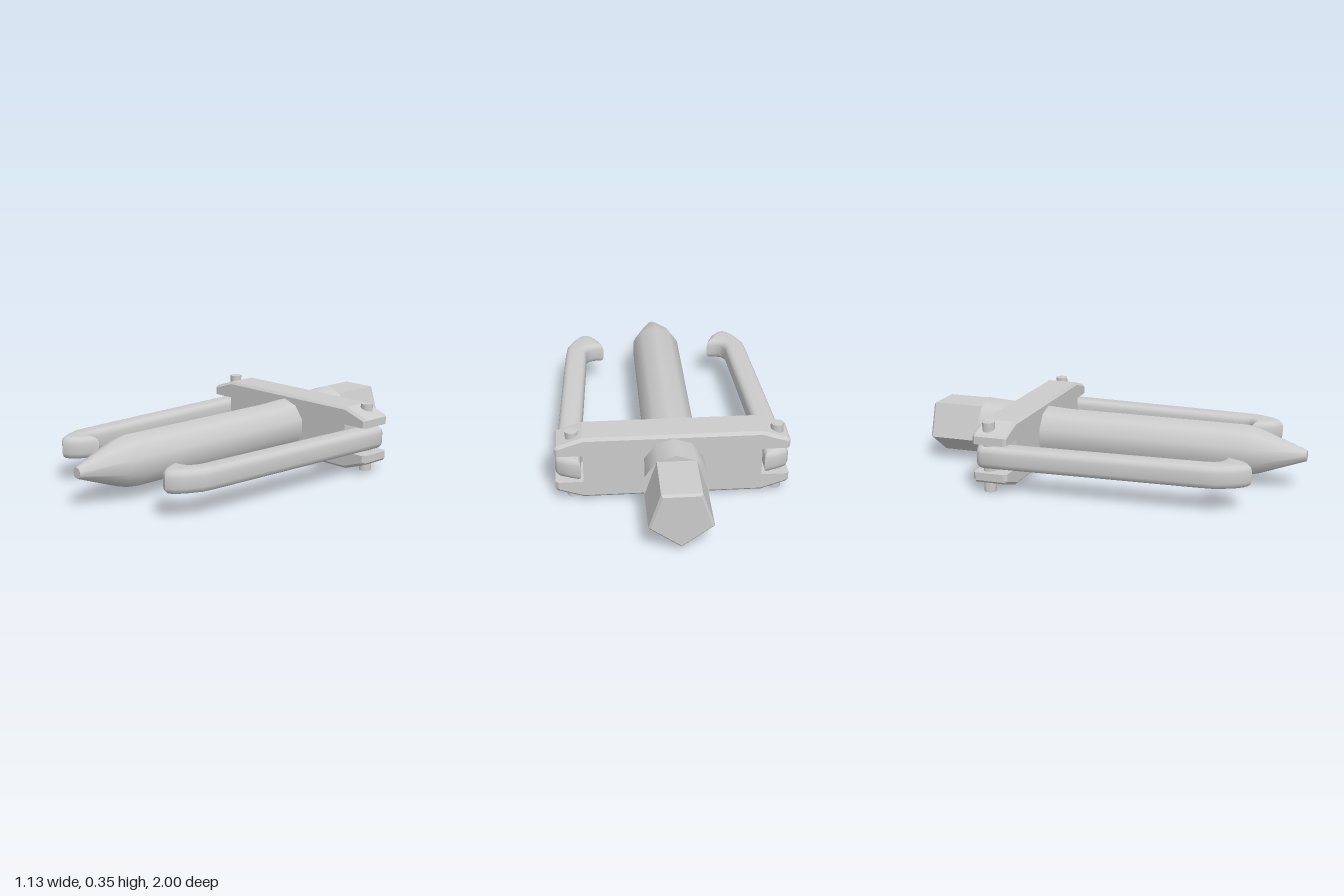
import * as THREE from 'three';
import { toCreasedNormals } from 'three/addons/utils/BufferGeometryUtils.js';

const MID = 0.18; // height of the screw axis
const material = new THREE.MeshStandardMaterial({ color: 0xcccccc });

function addMesh(group, name, geometry, crease) {
  const mesh = new THREE.Mesh(toCreasedNormals(geometry, crease), material);
  mesh.name = name;
  group.add(mesh);
  return mesh;
}

// Solid turned around the z axis from [radius, z] pairs, back to front
function turned(profile, sides) {
  const points = profile.map(([r, z]) => new THREE.Vector2(r, z));
  return new THREE.LatheGeometry(points, sides).rotateX(Math.PI / 2).translate(-0.003, MID, 0);
}

function shapeOf(points) {
  return new THREE.Shape(points.map(([x, y]) => new THREE.Vector2(x, y)));
}

// Crossbar with tapered, forked ends and chamfered outer edges
function crossbarGeometry() {
  const slot = 0.0725, inner = 0.43, bevel = 0.014;
  const quarter = [[inner, slot], [0.565, slot], [0.565, 0.112], [0.553, 0.124], [0.43, 0.164]];
  const flip = (sx, sy) => quarter.map(([x, y]) => [x * sx, y * sy]);
  const outline = [
    ...flip(1, 1), ...flip(-1, 1).reverse(),
    ...flip(-1, -1), ...flip(1, -1).reverse(),
  ];
  const geometry = new THREE.ExtrudeGeometry(shapeOf(outline), {
    depth: 0.18 - 2 * bevel, bevelEnabled: true, bevelSegments: 1,
    bevelSize: bevel, bevelThickness: bevel, bevelOffset: -bevel,
  });
  // Keep the slot walls straight
  const p = geometry.attributes.position;
  for (let i = 0; i < p.count; i++) {
    if (Math.abs(p.getY(i)) > 0.095) continue;
    p.setY(i, Math.sign(p.getY(i)) * slot);
    if (Math.abs(p.getX(i)) < 0.5) p.setX(i, Math.sign(p.getX(i)) * inner);
  }
  return geometry.translate(0, MID, -0.555 + bevel);
}

// Hooked arm outline in x and z, rounded along its edges
function armGeometry(side) {
  const outline = [
    [0.44, -0.577], [0.5, -0.557], [0.55, -0.535], [0.563, -0.51], [0.557, -0.38],
    [0.51, 0.58], [0.502, 0.66], [0.465, 0.74], [0.435, 0.782], [0.4, 0.805],
    [0.365, 0.788], [0.335, 0.755], [0.31, 0.7], [0.297, 0.655],
    [0.335, 0.657], [0.37, 0.645], [0.388, 0.62], [0.395, 0.585], [0.44, -0.38],
  ];
  const bevel = 0.03, height = 0.112;
  const shape = shapeOf(outline.map(([x, z]) => [x * side, z]));
  return new THREE.ExtrudeGeometry(shape, {
    depth: height - 2 * bevel, bevelEnabled: true, bevelSegments: 3,
    bevelSize: bevel, bevelThickness: bevel, bevelOffset: -bevel,
  }).rotateX(Math.PI / 2).translate(0, MID + height / 2 - bevel, 0);
}

export function createModel() {
  const model = new THREE.Group();
  model.name = 'twoArmPuller';

  // Central screw with tapered tip and flared collar
  addMesh(model, 'screw', turned([
    [0, -0.72], [0.157, -0.72], [0.148, -0.555], [0.132, -0.26],
    [0.132, 0.7], [0.118, 0.76], [0.028, 1], [0, 1],
  ], 10), 0.75);

  // Five-sided drive head
  addMesh(model, 'driveHead', turned([
    [0, -1], [0.146, -1], [0.158, -0.988], [0.158, -0.715], [0, -0.715],
  ], 5), 0.3);

  addMesh(model, 'crossbar', crossbarGeometry(), 0.3);

  // Arms and their hinge pins
  for (const [side, label, pinX] of [[1, 'left', 0.48], [-1, 'right', -0.507]]) {
    addMesh(model, label + 'Arm', armGeometry(side), 0.8);
    const pin = new THREE.CylinderGeometry(0.031, 0.031, 0.355, 14);
    addMesh(model, label + 'Pin', pin, 0.8).position.set(pinX, 0.1775, -0.487);
  }
  return model;
}
